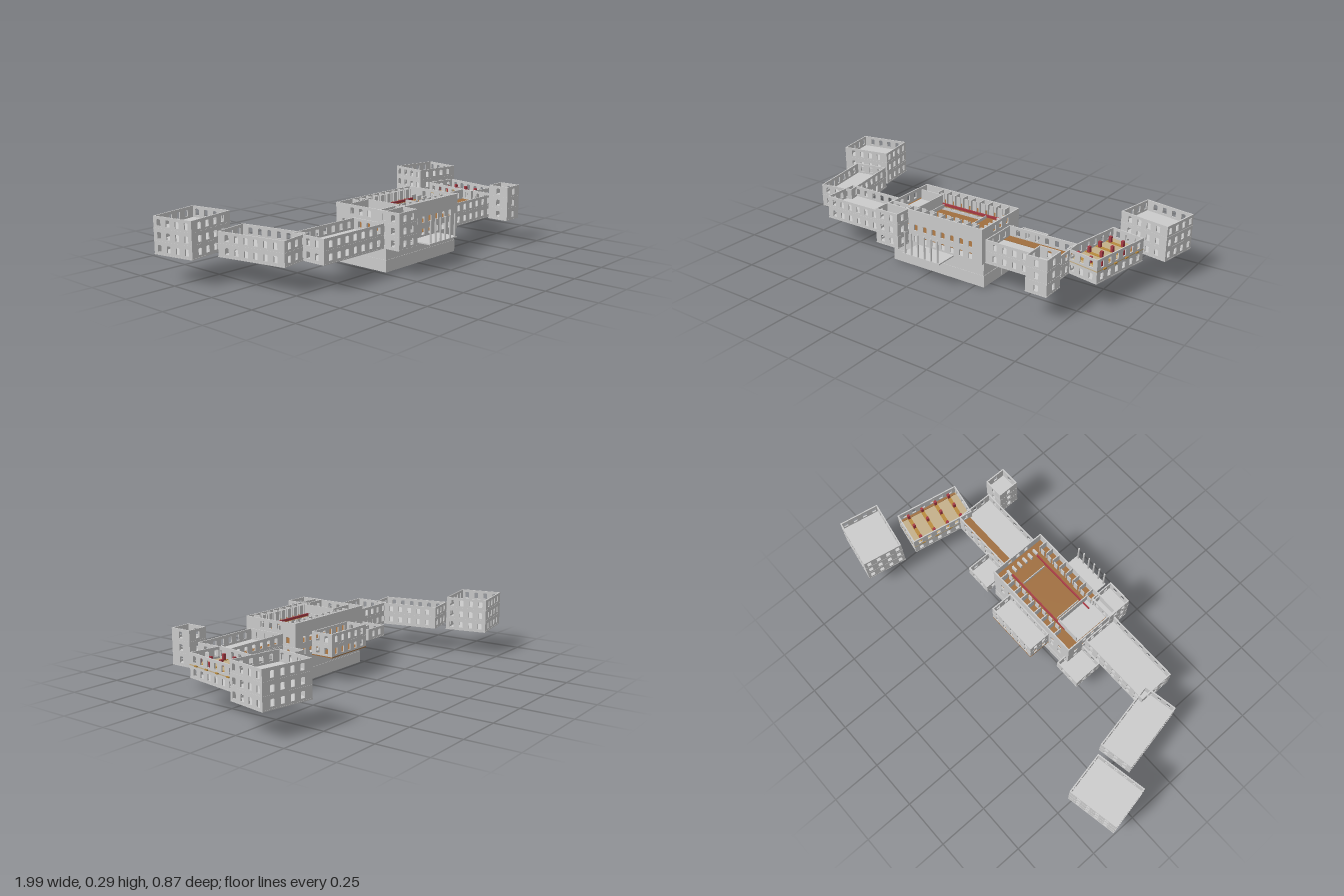
import * as THREE from 'three';

const F = 0.058;      // storey height
const BASE = 0.12;    // ground floor level
const T = 0.006;      // wall thickness
const PITCH = 0.052;  // window spacing
const TILT = 0.186;   // angle of the outer wings

const mat = (color) => new THREE.MeshStandardMaterial({ color, flatShading: true });
const GREY = mat(0xcccccc), BROWN = mat(0xa06f3f), TAN = mat(0xc4b08a);
const RED = mat(0xa83a44), OCHRE = mat(0xb98a3c);

function box(parent, name, material, w, h, d, x, y, z) {
  const mesh = new THREE.Mesh(new THREE.BoxGeometry(w, h, d), material);
  mesh.name = name;
  mesh.position.set(x, y, z);
  parent.add(mesh);
  return mesh;
}

// One storey of wall, pierced by n evenly spaced windows
function wallGeometry(length, n) {
  const s = new THREE.Shape();
  s.moveTo(-length / 2, 0).lineTo(length / 2, 0).lineTo(length / 2, F).lineTo(-length / 2, F).closePath();
  for (let i = 0; i < n; i++) {
    const x = (i - (n - 1) / 2) * PITCH, w = 0.0105;
    const hole = new THREE.Path();
    hole.moveTo(x - w, 0.015).lineTo(x - w, 0.043);
    hole.quadraticCurveTo(x, 0.049, x + w, 0.043).lineTo(x + w, 0.015).closePath();
    s.holes.push(hole);
  }
  const g = new THREE.ExtrudeGeometry(s, { depth: T, bevelEnabled: false, curveSegments: 4 });
  return g.translate(0, 0, -T);
}

// Roofless block of storeys: four pierced walls over a floor slab on each level
function block(parent, name, o) {
  const { x, z, w, d, rot = 0, first = 0, floors, nx, nz, slabs = true, top = GREY, bottom = GREY } = o;
  const g = new THREE.Group();
  g.name = name;
  g.position.set(x, BASE + first * F, z);
  g.rotation.y = rot;
  const long = wallGeometry(w, nx), short = wallGeometry(d - 2 * T, nz);
  for (let f = 0; f < floors; f++) {
    for (let k = 0; k < 4; k++) {
      const side = k % 2;
      const wall = new THREE.Mesh(side ? short : long, GREY);
      const a = k * Math.PI / 2, r = (side ? w : d) / 2;
      wall.name = ['frontWall', 'leftWall', 'backWall', 'rightWall'][k];
      wall.rotation.y = a;
      wall.position.set(Math.sin(a) * r, f * F, Math.cos(a) * r);
      g.add(wall);
    }
    if (slabs) {
      const m = f === floors - 1 && floors > 1 ? top : bottom;
      box(g, 'floorSlab', m, w + 0.002, 0.005, d + 0.002, 0, f * F + 0.0025, 0);
    }
  }
  parent.add(g);
  return g;
}

// Floor slab with a rectangular well; bounds are [x0, x1, z0, z1]
function wellSlab(parent, name, material, b, well, y) {
  const rect = (P, [x0, x1, z0, z1]) => {
    const p = new P();
    p.moveTo(x0, -z0).lineTo(x1, -z0).lineTo(x1, -z1).lineTo(x0, -z1).closePath();
    return p;
  };
  const s = rect(THREE.Shape, b);
  s.holes.push(rect(THREE.Path, well));
  const g = new THREE.ExtrudeGeometry(s, { depth: 0.004, bevelEnabled: false });
  const mesh = new THREE.Mesh(g.rotateX(-Math.PI / 2), material);
  mesh.name = name;
  mesh.position.y = y;
  parent.add(mesh);
}

function centralHall(root) {
  const hall = new THREE.Group();
  hall.name = 'centralHall';
  root.add(hall);

  // Two-level basement
  box(hall, 'lowerBasement', GREY, 0.525, 0.058, 0.29, 0.0325, 0.029, 0.158);
  box(hall, 'upperBasement', GREY, 0.521, 0.062, 0.286, 0.0325, 0.089, 0.158);
  box(hall, 'basementPanel', GREY, 0.004, 0.042, 0.14, 0.295, 0.026, 0.085);
  box(hall, 'basementVent', GREY, 0.004, 0.014, 0.014, 0.295, 0.053, 0.08);

  // Outer walls: windows all round below, only at the ends above
  const size = { x: 0.022, z: 0.165, w: 0.544, d: 0.306, slabs: false };
  block(hall, 'lowerHall', { ...size, floors: 2, nx: 9, nz: 5 });
  block(hall, 'upperHall', { ...size, first: 2, floors: 1, nx: 0, nz: 3 });

  // Ground floor and galleries around the well
  const y1 = BASE + F, y2 = BASE + 2 * F;
  const well = [-0.08, 0.165, 0.095, 0.23];
  box(hall, 'hallFloor', GREY, 0.544, 0.004, 0.306, 0.022, BASE + 0.001, 0.165);
  box(hall, 'wellFloor', BROWN, 0.3, 0.003, 0.18, 0.043, BASE + 0.004, 0.163);
  for (const y of [y1, y2]) wellSlab(hall, 'galleryFloor', BROWN, [-0.249, 0.293, 0.013, 0.317], well, y);
  box(hall, 'westRoomFloor', GREY, 0.13, 0.006, 0.19, -0.165, y2 + 0.004, 0.178);
  box(hall, 'westRoomWall', GREY, 0.005, F, 0.19, -0.1, y2 + F / 2, 0.178);
  box(hall, 'westRoomPartition', GREY, 0.12, F, 0.005, -0.165, y2 + F / 2, 0.085);

  // Railings, small rooms along both long sides, and benches at the end
  for (const z of [0.083, 0.242]) box(hall, 'redRail', RED, 0.38, 0.012, 0.007, 0.045, y2 + 0.01, z);
  for (const x of [-0.08, 0.165]) box(hall, 'endRail', GREY, 0.004, 0.018, 0.135, x, y2 + 0.009, 0.1625);
  for (const z of [0.038, 0.291]) {
    for (let i = 0; i < 9; i++) {
      box(hall, 'roomPartition', GREY, 0.005, F - 0.004, 0.045, -0.14 + i * 0.048, y2 + F / 2, z);
      if (i < 8) box(hall, 'roomFront', GREY, 0.024, F - 0.004, 0.004, -0.116 + i * 0.048, y2 + F / 2, z < 0.1 ? 0.06 : 0.268);
    }
  }
  for (let i = 0; i < 6; i++) box(hall, 'bench', GREY, 0.03, 0.025, 0.01, 0.25, y2 + 0.015, 0.075 + i * 0.034);
}

function frontPorch(root) {
  const porch = new THREE.Group();
  porch.name = 'frontPorch';
  root.add(porch);
  box(porch, 'porchFloor', GREY, 0.21, 0.006, 0.115, 0.032, BASE + 0.003, 0.3745);
  const column = new THREE.CylinderGeometry(0.0045, 0.005, 2 * F, 12);
  for (let i = 0; i < 6; i++) {
    const mesh = new THREE.Mesh(column, new THREE.MeshStandardMaterial({ color: 0xcccccc }));
    mesh.name = 'porchColumn';
    mesh.position.set(-0.061 + i * 0.0372, BASE + F, 0.426);
    porch.add(mesh);
  }
}

export function createModel() {
  const root = new THREE.Group();
  root.name = 'palace';
  centralHall(root);
  frontPorch(root);

  // Stair tower beside the hall and detached tower in front of the left wing
  block(root, 'stairTower', { x: -0.19, z: 0.337, w: 0.13, d: 0.126, floors: 3, nx: 2, nz: 2 });
  block(root, 'detachedTower', { x: 0.638, z: 0.362, w: 0.106, d: 0.112, floors: 3, nx: 1, nz: 1 });

  // Rear annex and the two low side annexes
  block(root, 'rearAnnex', { x: 0.03, z: -0.047, w: 0.28, d: 0.118, floors: 2, nx: 5, nz: 2, bottom: BROWN });
  block(root, 'rightLowAnnex', { x: -0.3, z: 0.036, w: 0.14, d: 0.152, floors: 1, nx: 2, nz: 2 });
  block(root, 'leftLowAnnex', { x: 0.361, z: 0.027, w: 0.14, d: 0.13, floors: 1, nx: 2, nz: 2 });

  // Straight wings, with a corridor wall on the ground floor
  const rw = block(root, 'rightInnerWing', { x: -0.447, z: 0.217, w: 0.394, d: 0.187, floors: 2, nx: 7, nz: 3 });
  box(rw, 'corridorWall', GREY, 0.37, F, 0.005, 0, F / 2, -0.04);
  const lw = block(root, 'leftInnerWing', { x: 0.474, z: 0.19, w: 0.362, d: 0.2, floors: 2, nx: 6, nz: 3 });
  box(lw, 'corridorWall', GREY, 0.345, F, 0.005, 0, F / 2, -0.043);
  box(lw, 'corridorFloor', BROWN, 0.348, 0.003, 0.05, 0, F + 0.006, -0.069);

  // Angled outer wings
  block(root, 'rightOuterWing', { x: -0.724, z: 0.021, w: 0.175, d: 0.355, rot: TILT, floors: 2, nx: 3, nz: 6 });
  const ow = block(root, 'leftOuterWing', { x: 0.752, z: 0.011, w: 0.172, d: 0.332, rot: -TILT, floors: 2, nx: 3, nz: 6, top: TAN });
  for (let i = 0; i < 4; i++) {
    const z = -0.115 + i * 0.077;
    box(ow, 'floorBeam', OCHRE, 0.182, 0.006, 0.018, 0.002, F + 0.004, z);
    for (const x of [-0.06, 0.01, 0.07]) box(ow, 'redPost', RED, 0.013, 0.03, 0.013, x, F + 0.02, z);
  }
  box(ow, 'floorEdge', BROWN, 0.012, 0.003, 0.31, 0.074, F + 0.006, 0);

  // End pavilions
  block(root, 'rightPavilion', { x: -0.85, z: -0.302, w: 0.26, d: 0.217, rot: TILT, floors: 3, nx: 4, nz: 4 });
  block(root, 'leftPavilion', { x: 0.848, z: -0.312, w: 0.257, d: 0.205, rot: -TILT, floors: 3, nx: 4, nz: 4 });
  return root;
}
